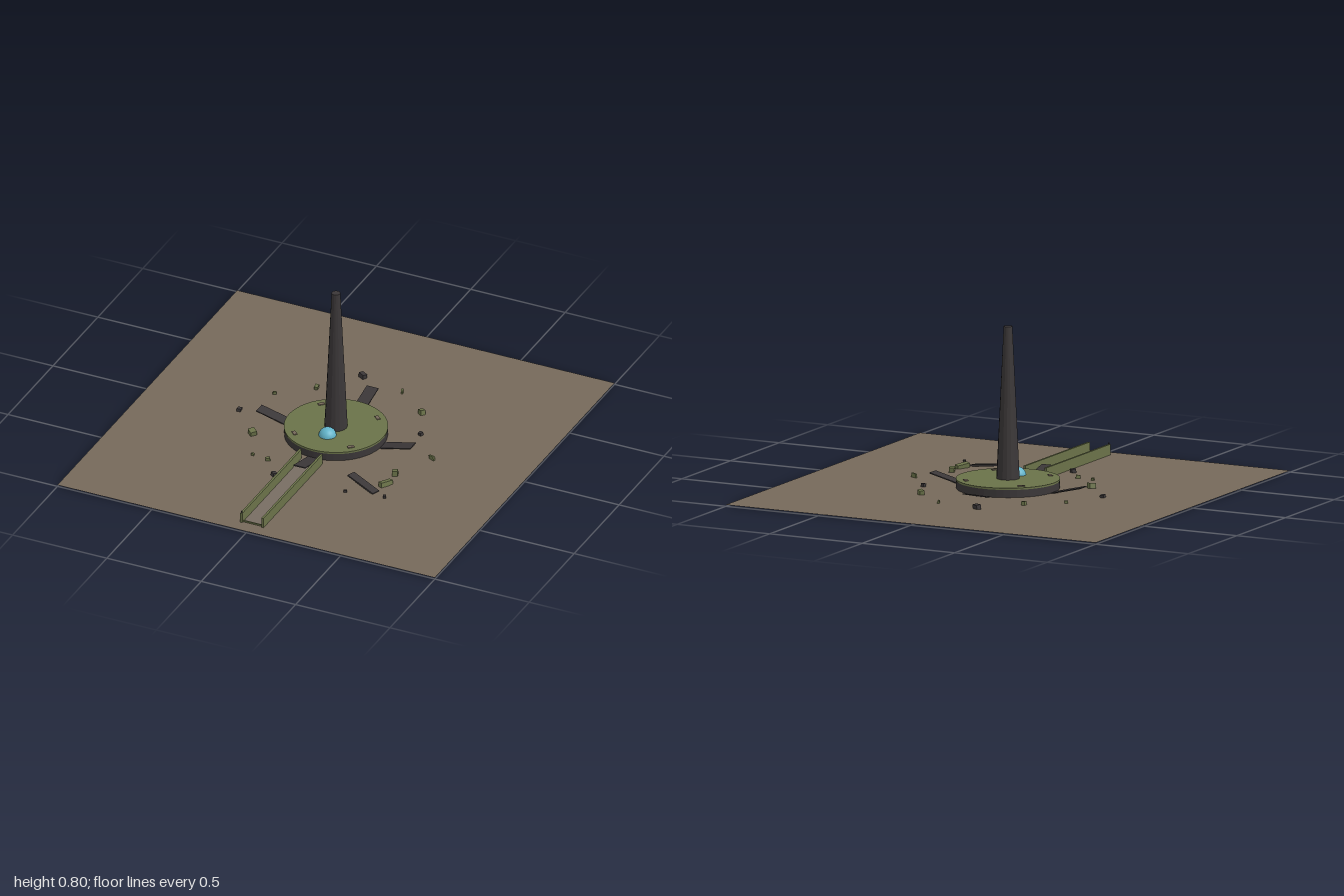
import * as THREE from 'three';

const mat = (name, color) => new THREE.MeshStandardMaterial({ name, color });

export function createModel() {
  const soil = mat('soil', 0x75695a);
  const trenchSoil = mat('trenchSoil', 0x786d62);
  const green = mat('olivePaint', 0x6a7249);
  const dark = mat('charredMetal', 0x3b3738);
  const blue = mat('dome glass', 0x62b4ca);
  soil.side = THREE.DoubleSide;
  dark.flatShading = true;

  const model = new THREE.Group();
  const G = 0.012; // ground level
  const add = (name, geo, material, x, y, z, parent = model) => {
    const m = new THREE.Mesh(geo, material);
    m.name = name;
    m.position.set(x, y, z);
    parent.add(m);
    return m;
  };
  const box = (name, w, h, d, material, x, y, z, parent) =>
    add(name, new THREE.BoxGeometry(w, h, d), material, x, y, z, parent);

  // Ground sheet
  add('ground', new THREE.PlaneGeometry(2, 2).rotateX(-Math.PI / 2), soil, 0, G, 0);

  // Round base with painted deck
  add('baseDrum', new THREE.CylinderGeometry(0.248, 0.248, 0.038, 48), dark, 0, G + 0.019, 0);
  add('deck', new THREE.CylinderGeometry(0.25, 0.25, 0.009, 48), green, 0, 0.0545, 0);

  // Tapering tower
  add('tower', new THREE.CylinderGeometry(0.021, 0.056, 0.745, 16), dark, 0, 0.4275, 0);

  // Glass dome in front of the tower
  add('dome', new THREE.SphereGeometry(0.043, 24, 10, 0, Math.PI * 2, 0, Math.PI / 2), blue, 0, 0.055, 0.095);

  // Four ramps rising outward, and four deck hatches
  for (let i = 0; i < 4; i++) {
    const arm = new THREE.Group();
    arm.name = 'rampArm';
    arm.rotation.y = i * Math.PI / 2;
    model.add(arm);
    const ramp = box('ramp', 0.062, 0.005, 0.17, dark, 0, 0.031, 0.326, arm);
    ramp.rotation.x = -0.24;
    const hatch = new THREE.Group();
    hatch.rotation.y = (i + 0.5) * Math.PI / 2;
    hatch.name = 'hatchMount';
    model.add(hatch);
    box('hatch', 0.032, 0.005, 0.018, soil, 0, 0.0605, 0.211, hatch);
  }

  // Trench walls, floor and end sill
  for (const s of [-1, 1]) box('trenchWall', 0.011, 0.052, 0.66, green, s * 0.056, 0.039, 0.607);
  box('trenchFloor', 0.1, 0.003, 0.64, trenchSoil, 0, G + 0.0015, 0.6);
  box('trenchSill', 0.1, 0.008, 0.006, green, 0, G + 0.005, 0.925);
  box('trenchPost', 0.006, 0.01, 0.006, dark, -0.056, 0.068, 0.93);

  // Scattered debris: x, z, width, height, depth, turn, material
  const debris = [
    [-0.11, -0.53, 0.036, 0.024, 0.024, -0.5, dark],
    [0.12, -0.485, 0.01, 0.014, 0.03, 0.35, green],
    [-0.265, -0.34, 0.018, 0.02, 0.026, 0.1, green],
    [0.29, -0.345, 0.026, 0.025, 0.024, -0.6, green],
    [-0.425, -0.21, 0.018, 0.015, 0.01, 0.5, green],
    [0.37, -0.165, 0.018, 0.018, 0.018, -0.3, dark],
    [-0.512, 0, 0.02, 0.015, 0.026, 0.1, dark],
    [0.515, 0.015, 0.032, 0.022, 0.01, -0.4, green],
    [-0.36, 0.175, 0.034, 0.028, 0.032, -0.7, green],
    [0.418, 0.22, 0.026, 0.026, 0.03, 0.3, green],
    [-0.275, 0.348, 0.014, 0.014, 0.01, 0, green],
    [-0.19, 0.36, 0.022, 0.018, 0.014, 0.5, green],
    [-0.102, 0.475, 0.024, 0.02, 0.022, -0.6, dark],
    [0.272, 0.468, 0.016, 0.014, 0.01, 0.4, dark],
    [0.465, 0.437, 0.014, 0.018, 0.012, 0.3, dark],
    [0.418, 0.325, 0.026, 0.024, 0.07, -0.45, green],
  ];
  debris.forEach(([x, z, w, h, d, turn, m], i) => {
    const b = box('debris', w, h, d, m, x, G + h / 2 - 0.002, z);
    b.rotation.set((i % 3 - 1) * 0.12, turn, (i % 2 - 0.5) * 0.2);
  });

  // Fallen panel leaning on the ground
  const panel = box('fallenPanel', 0.178, 0.008, 0.042, dark, 0.325, 0.026, 0.378);
  panel.rotation.set(0, -0.38, -0.15, 'YXZ');
  return model;
}
